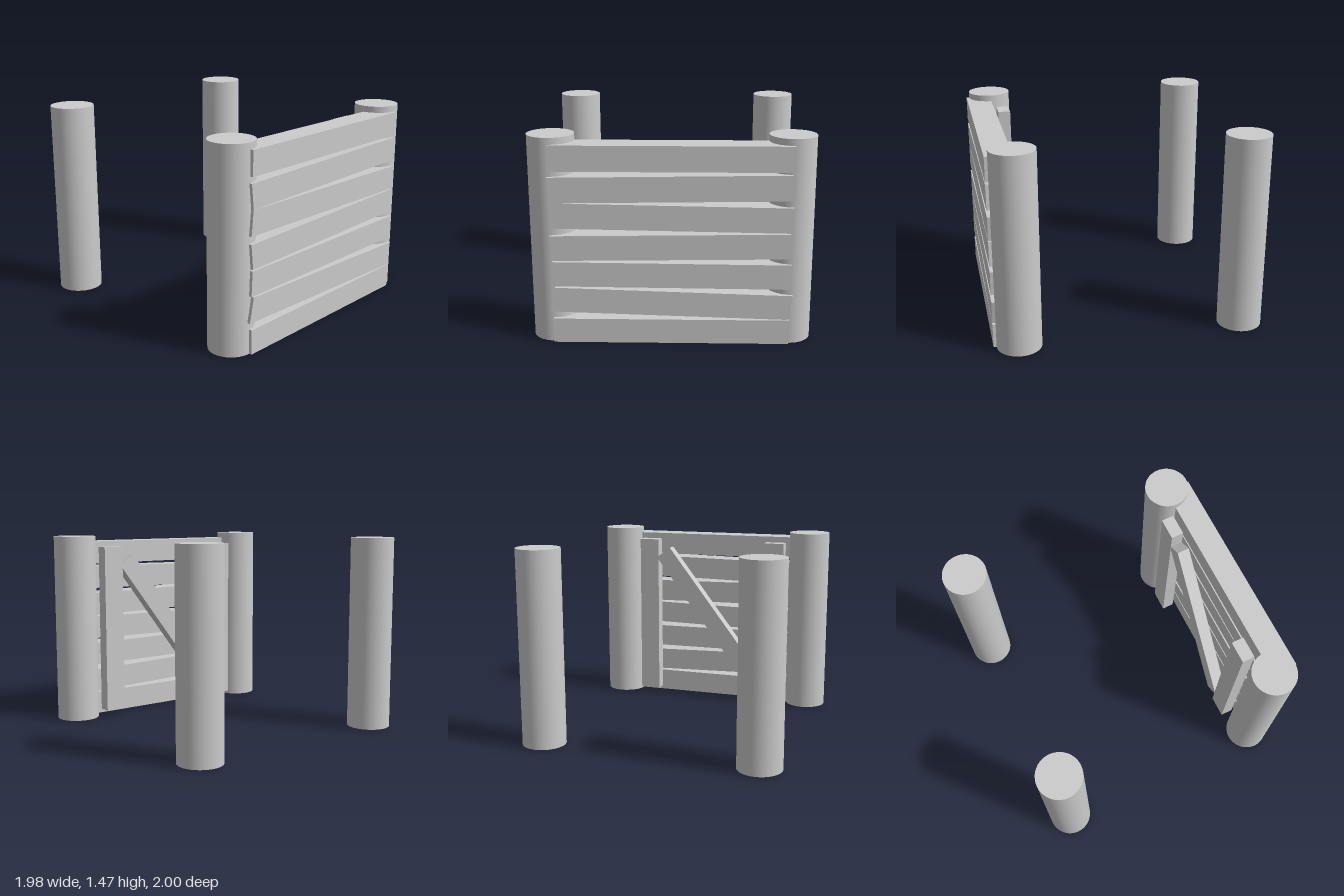
import * as THREE from 'three';

const material = new THREE.MeshStandardMaterial({ color: 0xcccccc });

function add(parent, name, geometry, x, y, z) {
  const mesh = new THREE.Mesh(geometry, material);
  mesh.name = name;
  mesh.position.set(x, y, z);
  parent.add(mesh);
  return mesh;
}

// Plank whose length rises by `rise` and whose ends lean by `lean`
function plankGeometry(length, height, depth, rise, lean) {
  const geometry = new THREE.BoxGeometry(length, height, depth);
  geometry.applyMatrix4(new THREE.Matrix4().set(
    1, lean / height, 0, 0,
    rise / length, 1, 0, 0,
    0, 0, 1, 0,
    0, 0, 0, 1));
  geometry.computeVertexNormals();
  return geometry;
}

export function createModel() {
  const model = new THREE.Group();
  model.name = 'gateAndPosts';

  // Four round posts
  const postHeight = 1.465;
  const postGeometry = new THREE.CylinderGeometry(0.163, 0.163, postHeight, 48);
  for (const [end, z] of [['front', 0.815], ['back', -0.837]]) {
    for (const [side, x] of [['Left', 0.825], ['Right', -0.825]]) {
      add(model, `${end}${side}Post`, postGeometry, x, postHeight / 2, z);
    }
  }

  const gate = new THREE.Group();
  gate.name = 'gate';
  model.add(gate);

  // Crooked horizontal planks: centre height, rise, lean
  const planks = [
    [0.09, 0, 0],
    [0.298, -0.048, 0.037],
    [0.505, -0.011, 0.008],
    [0.71, 0.024, -0.018],
    [0.919, -0.025, 0.018],
    [1.122, 0.024, -0.02],
    [1.33, 0, 0],
  ];
  planks.forEach(([y, rise, lean], i) => {
    add(gate, `plank${i + 1}`, plankGeometry(1.645, 0.178, 0.19, rise, lean), 0, y, 0.905);
  });

  // Two uprights behind the planks
  const uprightGeometry = new THREE.BoxGeometry(0.165, 1.335, 0.095);
  add(gate, 'leftUpright', uprightGeometry, 0.548, 0.708, 0.728);
  add(gate, 'rightUpright', uprightGeometry, -0.552, 0.708, 0.728);

  // Diagonal brace between the uprights
  const brace = add(gate, 'diagonalBrace', new THREE.BoxGeometry(0.147, 1.4, 0.094), -0.005, 0.708, 0.728);
  brace.rotation.z = -Math.atan(0.767);

  return model;
}
